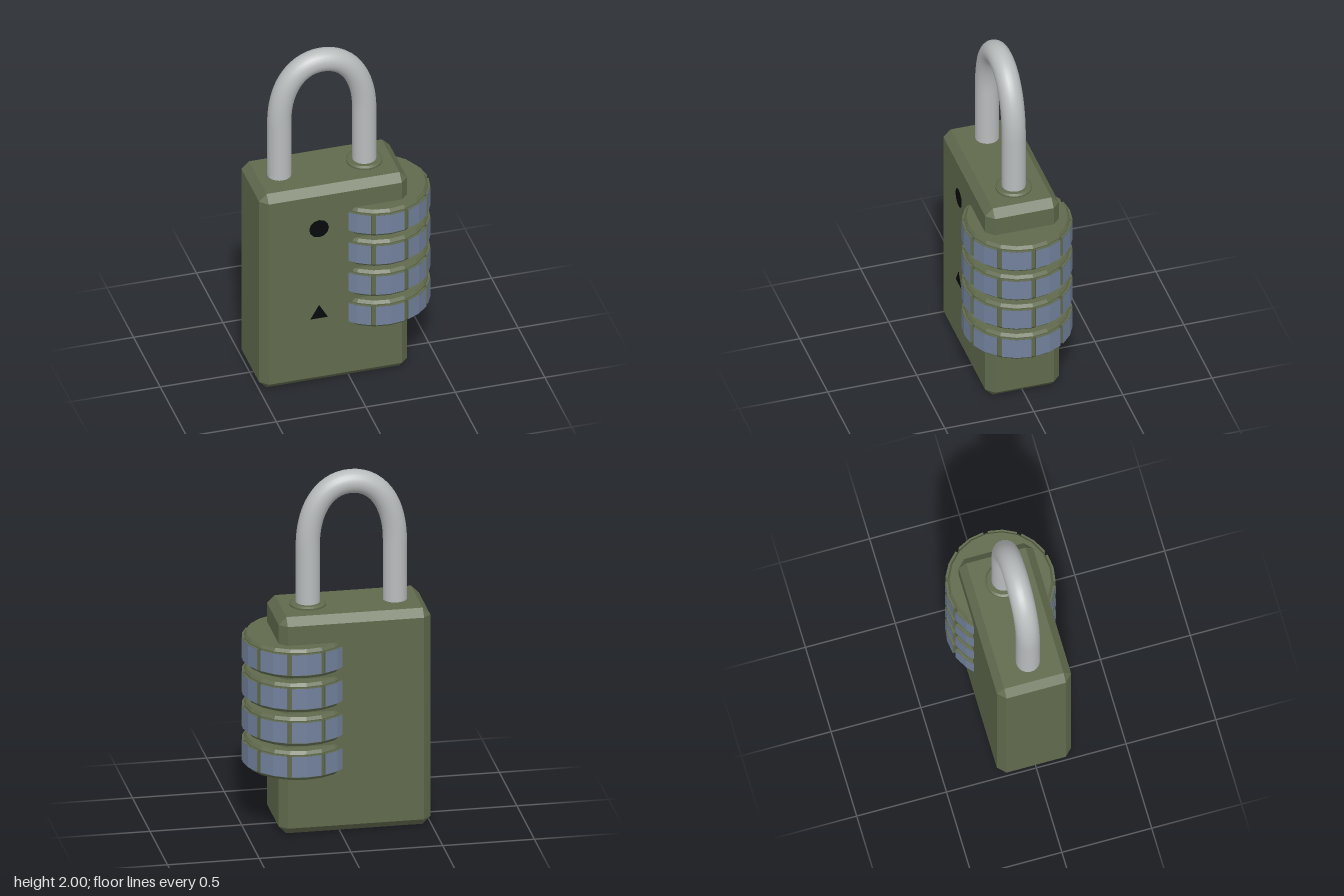
import * as THREE from 'three';
import { ConvexGeometry } from 'three/addons/geometries/ConvexGeometry.js';

const makeMaterial = (name, color, options = {}) => {
  const m = new THREE.MeshStandardMaterial({ color, ...options });
  m.name = name;
  return m;
};

// Box with every edge and corner cut at 45 degrees
function chamferedBox(w, h, d, c) {
  const points = [];
  for (const sx of [-1, 1]) for (const sy of [-1, 1]) for (const sz of [-1, 1]) {
    for (let axis = 0; axis < 3; axis++) {
      const p = [w / 2 - c, h / 2 - c, d / 2 - c];
      p[axis] += c;
      points.push(new THREE.Vector3(p[0] * sx, p[1] * sy, p[2] * sz));
    }
  }
  return new ConvexGeometry(points);
}

export function createModel() {
  const model = new THREE.Group();
  model.name = 'combinationPadlock';

  const green = makeMaterial('olive green', 0x606a4d, { flatShading: true });
  const blue = makeMaterial('slate blue', 0x72819c, { flatShading: true });
  const steel = makeMaterial('steel grey', 0xb9bcbd);
  const black = makeMaterial('black', 0x08090a);

  const add = (parent, name, geometry, material, x = 0, y = 0, z = 0) => {
    const mesh = new THREE.Mesh(geometry, material);
    mesh.name = name;
    mesh.position.set(x, y, z);
    parent.add(mesh);
    return mesh;
  };

  // Case
  add(model, 'body', chamferedBox(0.827, 1.243, 0.414, 0.042), green, -0.0835, 0.6215, 0);

  // Shackle: two straight legs joined by a tall arch
  const v = (x, y) => new THREE.Vector3(x, y, 0);
  const left = -0.335, right = 0.14, mid = (left + right) / 2, bend = 1.58, top = 1.935;
  const path = new THREE.CurvePath();
  path.add(new THREE.LineCurve3(v(left, 1.15), v(left, bend)));
  path.add(new THREE.CubicBezierCurve3(v(left, bend), v(left, bend + 0.22), v(mid - 0.14, top), v(mid, top)));
  path.add(new THREE.CubicBezierCurve3(v(mid, top), v(mid + 0.14, top), v(right, bend + 0.22), v(right, bend)));
  path.add(new THREE.LineCurve3(v(right, bend), v(right, 1.15)));
  add(model, 'shackle', new THREE.TubeGeometry(path, 64, 0.065, 24), steel);

  // Collar around the releasing leg
  const collar = [[0.098, 0], [0.098, 0.01], [0.087, 0.018], [0.06, 0.018]];
  add(model, 'shackleCollar',
    new THREE.LatheGeometry(collar.map(p => new THREE.Vector2(...p)), 32), green, right, 1.243, 0);

  // Index marks on the front
  add(model, 'dotMark', new THREE.CircleGeometry(0.055, 12), black, -0.175, 0.995, 0.21);
  add(model, 'triangleMark', new THREE.CircleGeometry(0.057, 3, Math.PI / 2), black, -0.175, 0.448, 0.21);

  // Number wheels: a 20-sided core with ten raised pads, each faced with a blue plate
  const coreProfile = [[0, -0.083], [0.272, -0.083], [0.284, -0.066], [0.284, 0.066], [0.272, 0.083], [0, 0.083]];
  const coreGeometry = new THREE.LatheGeometry(coreProfile.map(p => new THREE.Vector2(...p)), 20);
  const half = THREE.MathUtils.degToRad(15.5), padHeight = 0.118;
  const polar = (r, a) => new THREE.Vector2(r * Math.cos(a), r * Math.sin(a));
  const padShape = new THREE.Shape([
    polar(0.27, -half), polar(0.296, -half), polar(0.296, 0), polar(0.296, half), polar(0.27, half),
  ]);
  const padGeometry = new THREE.ExtrudeGeometry(padShape, { depth: padHeight, bevelEnabled: false });
  padGeometry.translate(0, 0, -padHeight / 2).rotateX(-Math.PI / 2);
  const plateGeometry = new THREE.CylinderGeometry(
    0.2975, 0.2975, padHeight, 2, 1, true, Math.PI / 2 - half, 2 * half);

  for (let i = 0; i < 4; i++) {
    const wheel = new THREE.Group();
    wheel.name = 'numberWheel' + (i + 1);
    wheel.position.set(0.2, 0.425 + i * 0.195, 0);
    add(wheel, 'wheelCore', coreGeometry, green);
    for (let k = 0; k < 10; k++) {
      const angle = (k + 0.5) * Math.PI / 5;
      add(wheel, 'wheelPad', padGeometry, green).rotation.y = angle;
      add(wheel, 'wheelPlate', plateGeometry, blue).rotation.y = angle;
    }
    model.add(wheel);
  }

  return model;
}
